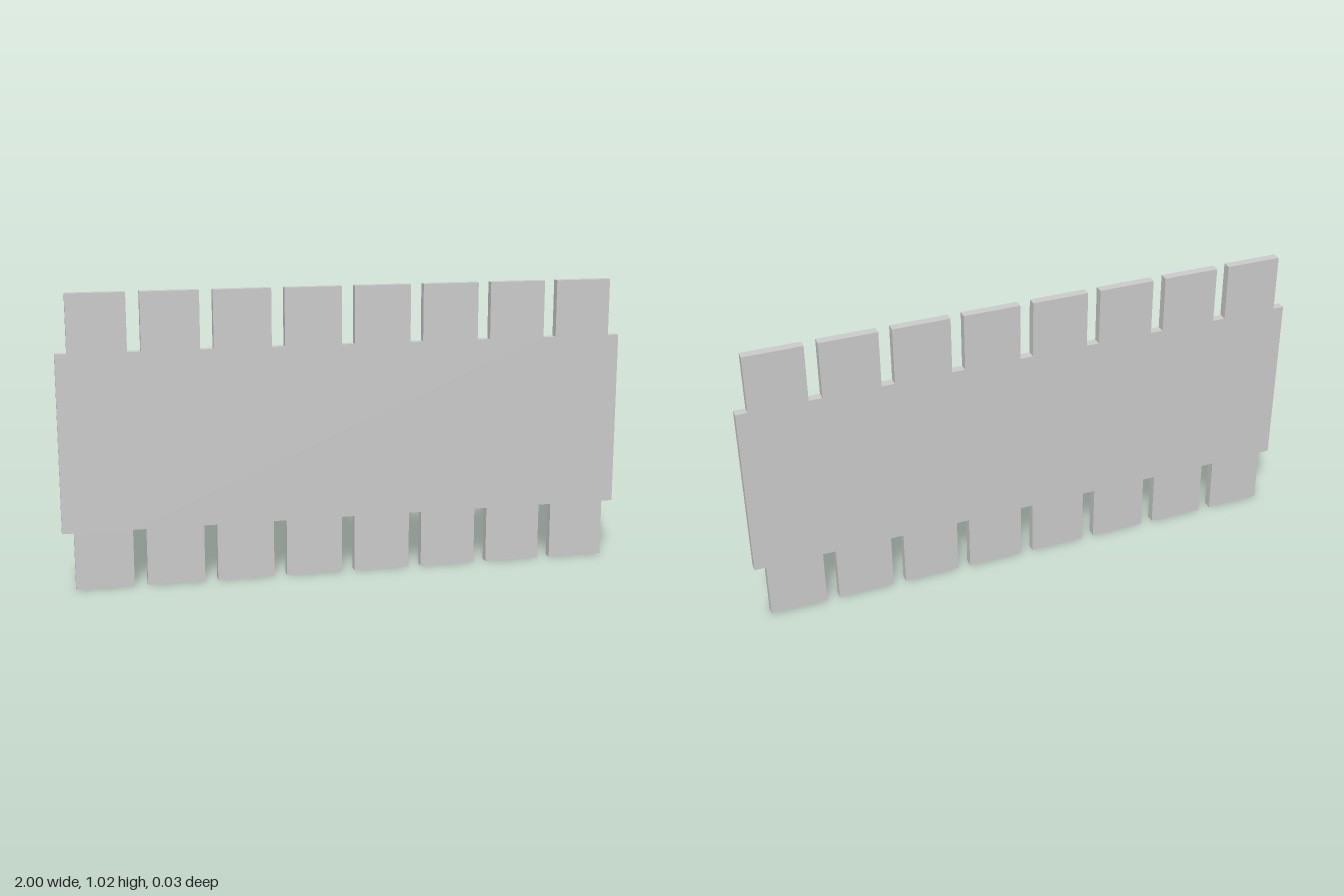
import * as THREE from 'three';

const HEIGHT = 1.023, THICKNESS = 0.031;
const TAB_COUNT = 8, TAB_WIDTH = 0.2, TAB_HEIGHT = 0.202, TAB_EDGE = 0.96;

export function createModel() {
  const group = new THREE.Group();
  group.name = 'slottedPanel';

  // Evenly spaced tabs between the outer edges
  const pitch = (2 * TAB_EDGE - TAB_WIDTH) / (TAB_COUNT - 1);
  const low = TAB_HEIGHT, high = HEIGHT - TAB_HEIGHT;

  // Outline, counter-clockwise: bottom tabs left to right, top tabs back again
  const points = [[-1, low]];
  for (let i = 0; i < TAB_COUNT; i++) {
    const a = -TAB_EDGE + i * pitch, b = a + TAB_WIDTH;
    points.push([a, low], [a, 0], [b, 0], [b, low]);
  }
  points.push([1, low], [1, high]);
  for (let i = 0; i < TAB_COUNT; i++) {
    const a = TAB_EDGE - i * pitch, b = a - TAB_WIDTH;
    points.push([a, high], [a, HEIGHT], [b, HEIGHT], [b, high]);
  }
  points.push([-1, high]);

  // Flat board with slots cut into both long edges
  const shape = new THREE.Shape(points.map(([x, y]) => new THREE.Vector2(x, y)));
  const geometry = new THREE.ExtrudeGeometry(shape, { depth: THICKNESS, bevelEnabled: false });
  geometry.translate(0, 0, -THICKNESS / 2);

  const panel = new THREE.Mesh(geometry, new THREE.MeshStandardMaterial({ color: 0xcccccc }));
  panel.name = 'panel';
  group.add(panel);
  return group;
}
